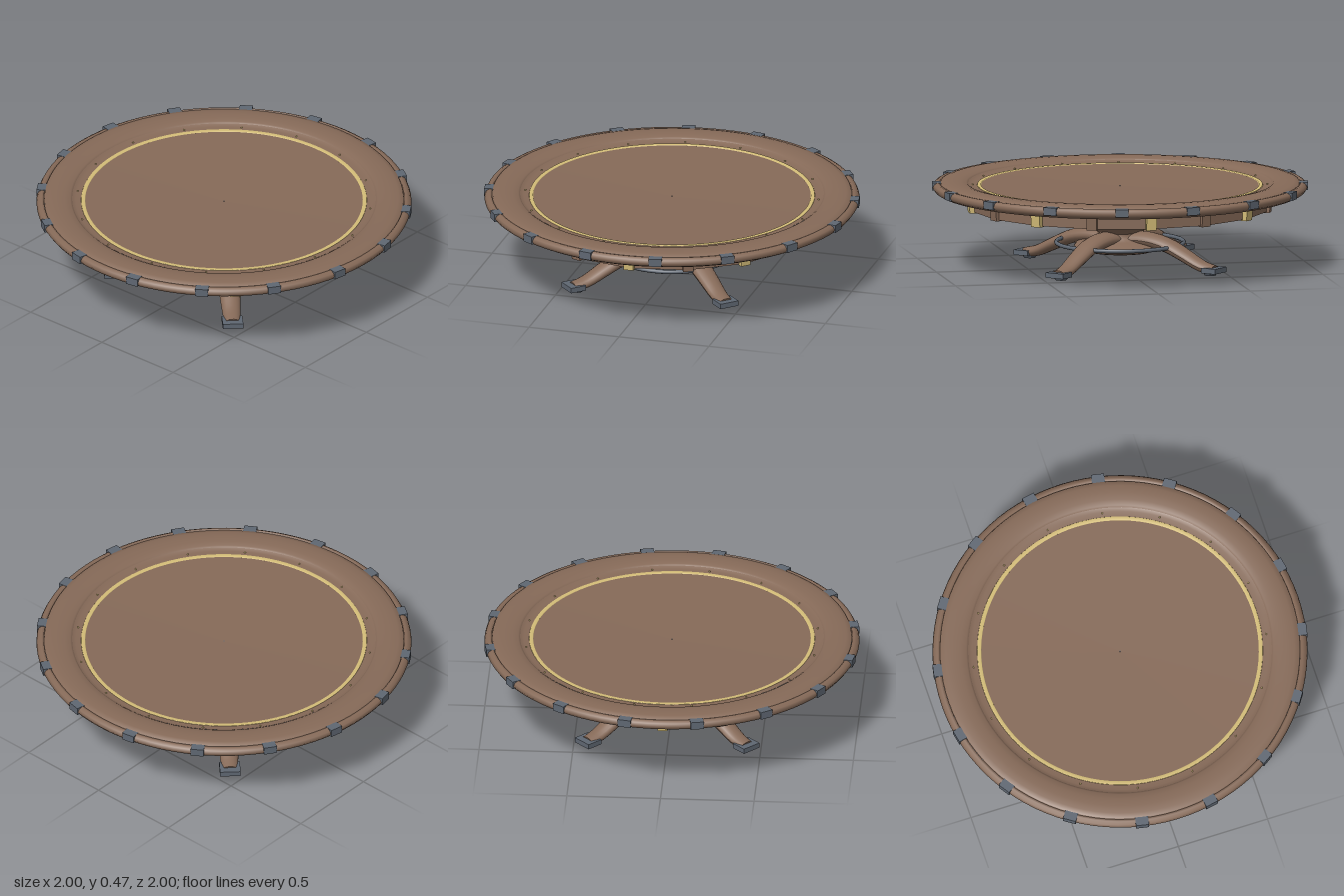
import * as THREE from 'three';

const mat = (name, color, extra = {}) => {
  const m = new THREE.MeshStandardMaterial({ color, ...extra });
  m.name = name;
  return m;
};

export function createModel() {
  const group = new THREE.Group();
  group.name = 'roundTable';
  const wood = mat('wood', 0x866a58);
  const iron = mat('iron', 0x5f6772);
  const gold = mat('gold', 0xd4bd78);

  const add = (name, geometry, material, parent = group) => {
    const mesh = new THREE.Mesh(geometry, material);
    mesh.name = name;
    parent.add(mesh);
    return mesh;
  };
  const lathe = (pts, segments) =>
    new THREE.LatheGeometry(pts.map(([r, y]) => new THREE.Vector2(r, y)), segments);
  const flat = (g) => {
    const out = g.toNonIndexed();
    out.computeVertexNormals();
    return out;
  };
  // Places a part at a radius, turned to face outward
  const around = (mesh, angle, radius, y) => {
    mesh.position.set(Math.sin(angle) * radius, y, Math.cos(angle) * radius);
    mesh.rotation.y = angle;
  };

  // Underside, rounded rim and shallow dished top
  add('underside', lathe([[0, 0.395], [0.92, 0.395]], 96), wood);
  add('outerBand', lathe([
    [0.92, 0.395], [0.965, 0.4], [0.988, 0.412], [1.0, 0.43],
    [0.992, 0.446], [0.975, 0.456], [0.962, 0.454], [0.96, 0.445],
  ], 96), wood);
  add('rim', lathe([
    [0.96, 0.447], [0.956, 0.457], [0.93, 0.464], [0.89, 0.466],
    [0.85, 0.464], [0.82, 0.458], [0.808, 0.45], [0.803, 0.438],
  ], 96), wood);
  add('dishedTop', lathe([[0.81, 0.452], [0.79, 0.442], [0.74, 0.44], [0, 0.434]], 96), wood);

  // Gold inlay ring, studs and centre pin
  add('inlayRing', lathe([[0.762, 0.441], [0.76, 0.4445], [0.742, 0.4435], [0.74, 0.44]], 96), gold);
  const stud = new THREE.SphereGeometry(0.005, 8, 6);
  for (let i = 0; i < 16; i++) {
    around(add('topStud', stud, gold), (i + 0.5) * Math.PI / 8, 0.785, 0.443);
  }
  add('centrePin', new THREE.CylinderGeometry(0.004, 0.004, 0.004, 10), iron).position.y = 0.435;

  // Iron clips around the rim
  const clip = new THREE.BoxGeometry(0.07, 0.042, 0.05);
  for (let i = 0; i < 16; i++) {
    around(add('rimClip', clip, iron), (i + 0.5) * Math.PI / 8, 0.978, 0.436);
  }

  // Sixteen-sided hollow apron
  add('apron', flat(lathe([
    [0.775, 0.397], [0.775, 0.32], [0.805, 0.32], [0.805, 0.397],
  ], 16)), wood);

  // Alternating gold and wood brackets on the apron corners, wider at the top
  const bracket = new THREE.BoxGeometry(0.055, 0.08, 0.05);
  const bp = bracket.attributes.position;
  for (let i = 0; i < bp.count; i++) {
    if (bp.getY(i) < 0 && bp.getZ(i) > 0) bp.setZ(i, 0.017);
  }
  bracket.computeVertexNormals();
  for (let i = 0; i < 16; i++) {
    const isGold = i % 2 === 0;
    const b = add(isGold ? 'goldBracket' : 'woodBracket', bracket, isGold ? gold : wood);
    around(b, i * Math.PI / 8, isGold ? 0.806 : 0.799, 0.355);
  }

  // Turned pedestal, in sections so the edges stay crisp
  const sections = [
    [[0, 0.085], [0.17, 0.085], [0.195, 0.092], [0.245, 0.115]],
    [[0.245, 0.115], [0.235, 0.13], [0.16, 0.15], [0.12, 0.165], [0.12, 0.19]],
    [[0.12, 0.19], [0.185, 0.243]],
    [[0.185, 0.243], [0.145, 0.295]],
    [[0.145, 0.295], [0.175, 0.325], [0.22, 0.355], [0.247, 0.38], [0.247, 0.396]],
  ];
  sections.forEach((pts) => add('pedestal', lathe(pts, 40), wood));

  // Iron foot ring
  add('footRing', new THREE.TorusGeometry(0.34, 0.011, 10, 72), iron)
    .rotateX(Math.PI / 2).position.y = 0.132;

  // Curved leg: a cylinder swept along a path with an oval section
  const path = new THREE.CatmullRomCurve3([
    [0.06, 0.155], [0.18, 0.16], [0.3, 0.14], [0.42, 0.09], [0.52, 0.045], [0.6, 0.028],
  ].map(([x, y]) => new THREE.Vector3(x, y, 0)));
  const legGeo = new THREE.CylinderGeometry(1, 1, 1, 18, 16);
  const p = legGeo.attributes.position;
  for (let i = 0; i < p.count; i++) {
    const t = THREE.MathUtils.clamp(p.getY(i) + 0.5, 0, 1);
    const c = path.getPoint(t);
    const d = path.getTangent(t);
    const thick = p.getX(i) * THREE.MathUtils.lerp(0.045, 0.026, t);
    const wide = p.getZ(i) * THREE.MathUtils.lerp(0.075, 0.042, t);
    p.setXYZ(i, c.x + d.y * thick, c.y - d.x * thick, wide);
  }
  legGeo.computeVertexNormals();

  // Four legs on the diagonals, each with an iron shoe
  const shoe = new THREE.BoxGeometry(0.09, 0.028, 0.11);
  const pad = new THREE.CylinderGeometry(0.04, 0.03, 0.018, 16);
  for (let i = 0; i < 4; i++) {
    const leg = new THREE.Group();
    leg.name = 'leg';
    leg.rotation.y = Math.PI / 4 + i * Math.PI / 2;
    add('legBeam', legGeo, wood, leg);
    add('legShoe', shoe, iron, leg).position.set(0.597, 0.03, 0);
    add('legPad', pad, iron, leg).position.set(0.575, 0.009, 0);
    group.add(leg);
  }
  return group;
}
